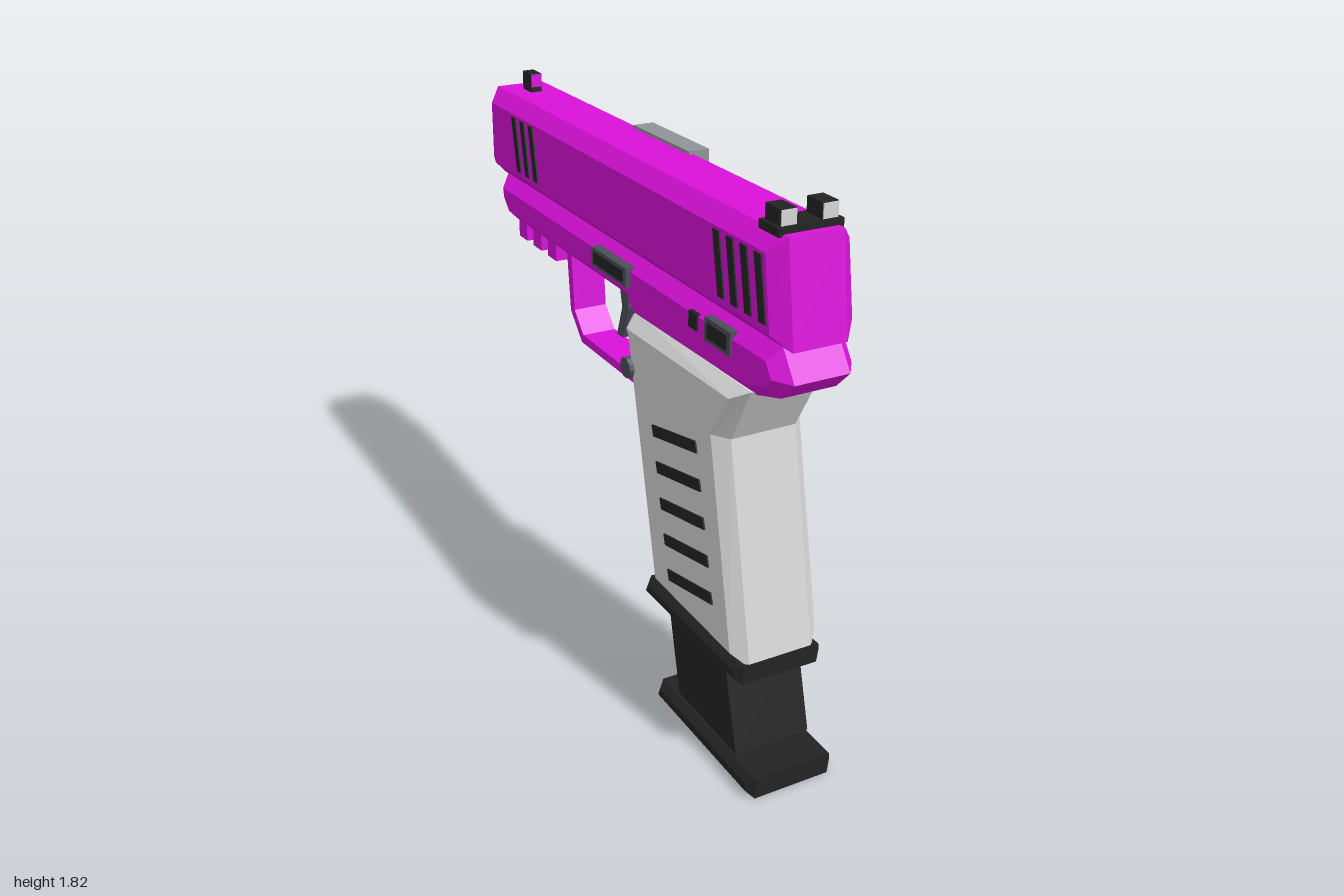
import * as THREE from 'three';

const flat = (name, color) => {
  const m = new THREE.MeshStandardMaterial({ color });
  m.name = name;
  return m;
};

export function createModel() {
  const magenta = flat('magenta', 0xd911d9);
  const lightGrey = flat('light grey', 0xd6d6d6);
  const black = flat('black', 0x232323);
  const slate = flat('slate', 0x4c4e5a);
  const steel = flat('steel', 0x8f9498);

  const group = new THREE.Group();
  const add = (name, geo, mat) => {
    const mesh = new THREE.Mesh(geo, mat);
    mesh.name = name;
    group.add(mesh);
    return mesh;
  };

  // Side profile of [z, y] points, extruded across x with chamfered edges
  const prism = (name, pts, half, bevel, mat, x = 0) => {
    const shape = new THREE.Shape(pts.map(([z, y]) => new THREE.Vector2(z, y)));
    const depth = 2 * (half - bevel);
    const geo = new THREE.ExtrudeGeometry(shape, {
      depth, bevelEnabled: bevel > 0, bevelSegments: 1,
      bevelSize: bevel, bevelThickness: bevel, bevelOffset: -bevel,
    });
    geo.translate(0, 0, -depth / 2).rotateY(-Math.PI / 2).translate(x, 0, 0);
    return add(name, geo, mat);
  };
  // Box from its limits on each axis
  const box = (name, [x0, x1], [y0, y1], [z0, z1], mat) => {
    const geo = new THREE.BoxGeometry(x1 - x0, y1 - y0, z1 - z0);
    geo.translate((x0 + x1) / 2, (y0 + y1) / 2, (z0 + z1) / 2);
    return add(name, geo, mat);
  };

  // Slide and frame
  prism('slide', [[0.983, 1.455], [0.94, 1.757], [-0.95, 1.757], [-0.95, 1.5], [-0.91, 1.455]], 0.13, 0.045, magenta);
  prism('frame', [
    [0.94, 1.457], [-0.88, 1.457], [-0.87, 1.37], [-0.81, 1.307], [0.105, 1.307],
    [0.145, 1.258], [0.82, 1.272], [0.94, 1.31], [1.0, 1.37],
  ], 0.128, 0.04, magenta);

  // Accessory rail teeth
  for (const z of [-0.533, -0.657, -0.78]) {
    box('railTooth', [-0.08, 0.08], [1.24, 1.32], [z - 0.034, z + 0.034], magenta);
  }

  // Trigger guard and trigger
  prism('triggerGuard', [
    [-0.455, 1.32], [-0.43, 1.08], [-0.345, 0.99], [0.09, 0.99], [0.23, 1.045],
    [0.23, 1.08], [0.085, 1.02], [-0.333, 1.02], [-0.4, 1.09], [-0.42, 1.32],
  ], 0.06, 0, magenta);
  prism('trigger', [
    [-0.062, 1.32], [-0.05, 1.21], [-0.094, 1.093], [-0.135, 1.093], [-0.097, 1.2], [-0.124, 1.32],
  ], 0.03, 0, slate);

  // Grip, magazine well, magazine and base plate
  prism('grip', [[0.825, 1.285], [0.727, 1.1], [0.866, 0.41], [0.327, 0.41], [0.127, 1.265], [0.15, 1.285]], 0.15, 0.042, lightGrey);
  prism('magazineWell', [[0.866, 0.355], [0.866, 0.42], [0.295, 0.42], [0.275, 0.355]], 0.152, 0.022, black);
  prism('magazine', [[0.765, 0.37], [0.842, 0.085], [0.49, 0.085], [0.42, 0.37]], 0.13, 0, black);
  prism('basePlate', [[0.955, 0], [0.955, 0.07], [0.382, 0.07], [0.363, 0]], 0.152, 0.022, black);

  // Grooves on both sides
  const groove = (name, pts, x) => {
    for (const side of [-1, 1]) prism(name, pts, 0.004, 0, black, side * x);
  };
  const slideGroove = (z) => groove('slideGroove',
    [[z, 1.703], [z + 0.035, 1.52], [z + 0.003, 1.52], [z - 0.032, 1.703]], 0.131);
  for (let i = 0; i < 4; i++) slideGroove(0.885 - i * 0.07);
  for (let i = 0; i < 3; i++) slideGroove(-0.55 - i * 0.07);
  for (let i = 0; i < 5; i++) {
    const dz = i * 0.0265, dy = -i * 0.114;
    groove('gripGroove', [[0.603, 1.05], [0.614, 1.015], [0.351, 0.955], [0.34, 0.99]]
      .map(([z, y]) => [z + dz, y + dy]), 0.151);
  }

  // Barrel with dark bore, and the guide rod below it
  const rod = (name, r, len, y, z, mat) => {
    const geo = new THREE.CylinderGeometry(r, r, len, 16).toNonIndexed();
    geo.computeVertexNormals();
    geo.rotateX(Math.PI / 2).translate(0, y, z);
    add(name, geo, mat);
  };
  rod('barrel', 0.064, 0.1, 1.627, -0.948, slate);
  rod('bore', 0.054, 0.006, 1.627, -0.997, black);
  rod('guideRod', 0.03, 0.06, 1.525, -0.937, steel);

  // Ejection port
  box('ejectionPort', [0.07, 0.14], [1.655, 1.767], [-0.205, 0.153], steel);

  // Sights with painted rear faces
  box('frontSight', [-0.02, 0.02], [1.75, 1.82], [-0.875, -0.806], black);
  box('frontSightMark', [-0.019, 0.019], [1.775, 1.819], [-0.806, -0.802], magenta);
  box('rearSightBase', [-0.1, 0.1], [1.75, 1.775], [0.818, 0.915], black);
  for (const x of [-0.064, 0.064]) {
    box('rearSightPost', [x - 0.025, x + 0.025], [1.77, 1.82], [0.83, 0.902], black);
    box('rearSightMark', [x - 0.023, x + 0.023], [1.776, 1.818], [0.902, 0.906], lightGrey);
  }

  // Controls on the -x side
  box('slideStop', [-0.145, -0.1], [1.37, 1.432], [-0.083, 0.153], slate);
  box('slideStopInset', [-0.148, -0.144], [1.382, 1.42], [-0.065, 0.135], black);
  box('takedownPlate', [-0.134, -0.1], [1.365, 1.437], [0.61, 0.75], slate);
  box('takedownInset', [-0.137, -0.133], [1.378, 1.424], [0.627, 0.733], black);
  box('framePin', [-0.134, -0.1], [1.375, 1.425], [0.52, 0.565], black);
  const release = new THREE.CylinderGeometry(0.034, 0.034, 0.065, 10).toNonIndexed();
  release.computeVertexNormals();
  release.rotateZ(Math.PI / 2).translate(-0.133, 1.122, 0.186);
  add('magazineRelease', release, slate);

  return group;
}
